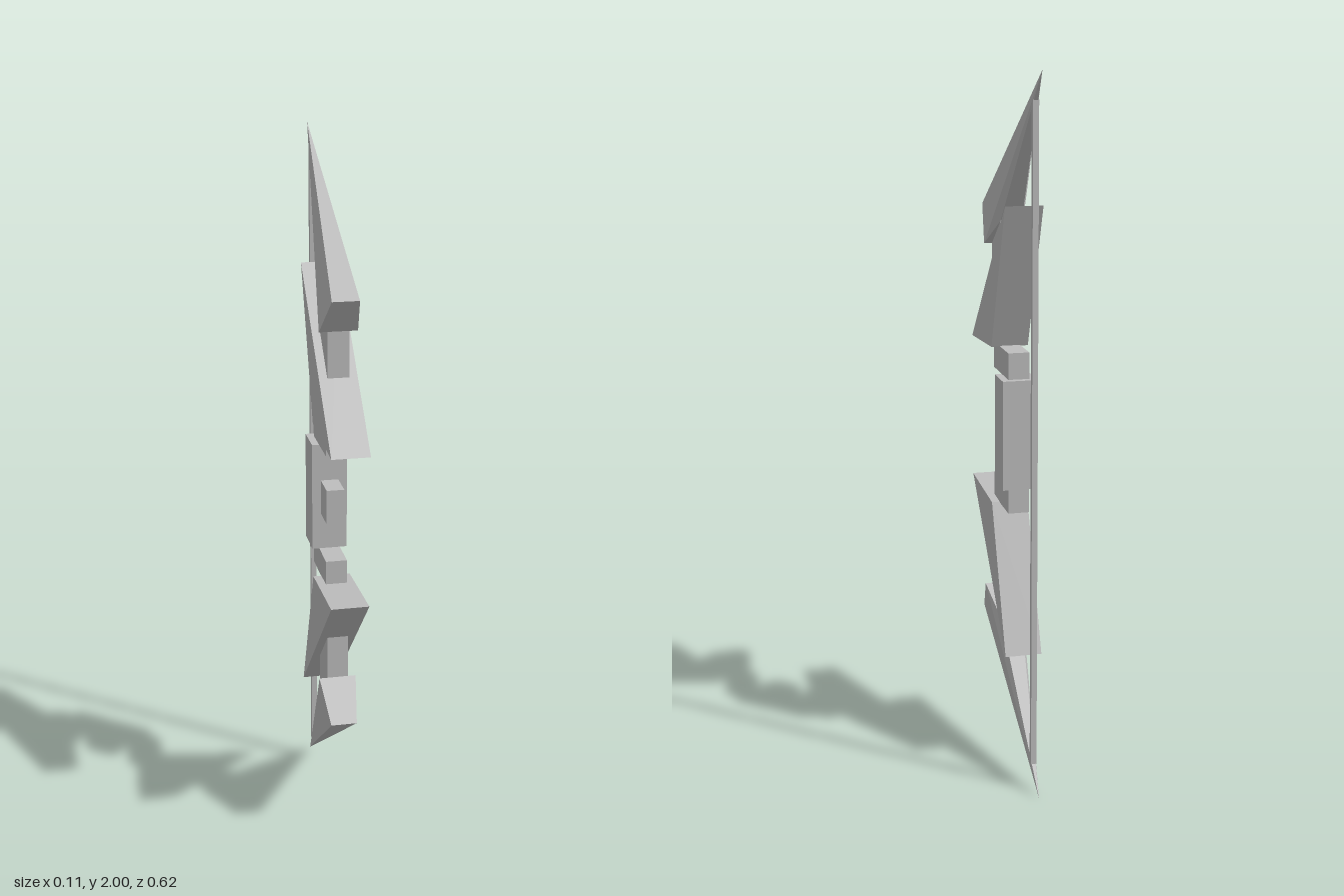
import * as THREE from 'three';
import { ConvexGeometry } from 'three/addons/geometries/ConvexGeometry.js';

const metal = new THREE.MeshStandardMaterial({ color: 0xbdbdbd });
metal.name = 'plain grey';

function add(parent, name, geometry) {
  const mesh = new THREE.Mesh(geometry, metal);
  mesh.name = name;
  parent.add(mesh);
  return mesh;
}

// Box given by its half width and its y and z ranges
function box(parent, name, halfWidth, y0, y1, z0, z1) {
  const mesh = add(parent, name, new THREE.BoxGeometry(halfWidth * 2, y1 - y0, z1 - z0));
  mesh.position.set(0, (y0 + y1) / 2, (z0 + z1) / 2);
}

// Convex solid from [halfWidth, y, z] points mirrored across x
function solid(parent, name, points) {
  const corners = [];
  for (const [x, y, z] of points) {
    corners.push(new THREE.Vector3(x, y, z));
    if (x > 0) corners.push(new THREE.Vector3(-x, y, z));
  }
  add(parent, name, new ConvexGeometry(corners));
}

// One half of the bow, measured from the grip centre
function limb(name) {
  const group = new THREE.Group();
  group.name = name;
  box(group, 'bracket', 0.03, 0.157, 0.232, -0.06, 0.12);
  solid(group, 'blade', [[0.053, 0.215, 0.31], [0.053, 0.23, 0.05], [0.053, 0.643, -0.12]]);
  // Post whose slanted top follows the underside of the tip
  solid(group, 'post', [
    [0.03, 0.32, 0.14], [0.03, 0.32, 0.03],
    [0.03, 0.53, 0.14], [0.03, 0.6, 0.03],
  ]);
  solid(group, 'tip', [
    [0.037, 0.615, 0.235], [0.053, 0.512, 0.14], [0.03, 0.588, 0.03], [0, 1, -0.305],
  ]);
  return group;
}

export function createModel() {
  const model = new THREE.Group();
  model.name = 'bow';

  const body = new THREE.Group();
  body.name = 'body';
  body.position.y = 1;
  model.add(body);

  // Grip, front peg and string
  box(body, 'grip', 0.05, -0.157, 0.157, -0.08, 0.02);
  box(body, 'peg', 0.025, -0.05, 0.05, 0.01, 0.105);
  box(body, 'string', 0.008, -0.925, 0.925, -0.243, -0.227);

  // Upper limb, and the same limb turned upside down
  const lower = limb('lowerLimb');
  lower.rotation.z = Math.PI;
  body.add(limb('upperLimb'), lower);
  return model;
}
